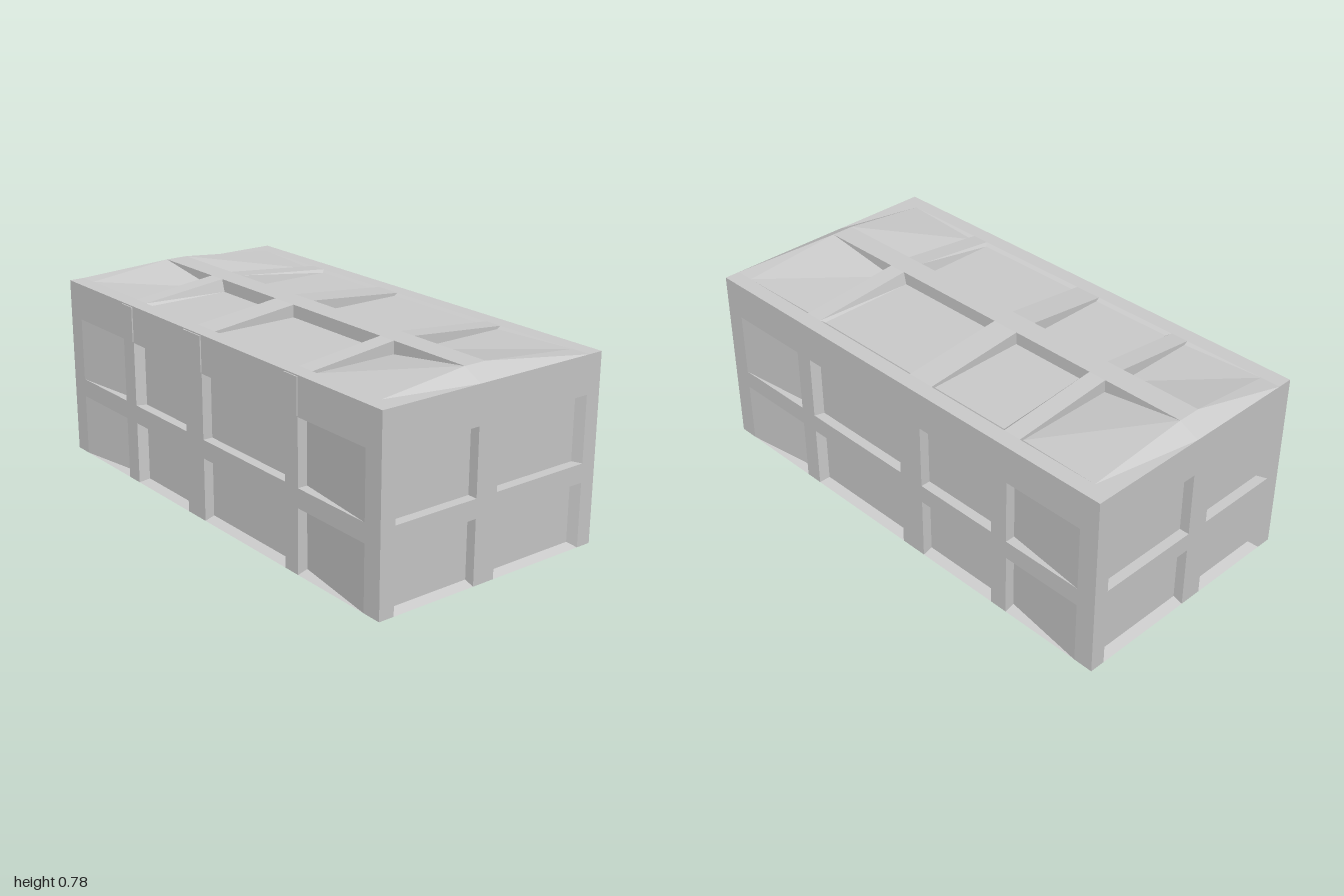
import * as THREE from 'three';

const W = 0.503, H = 0.74, RIDGE = 0.78, L = 1, END = 0.92;

// Grid lines: frame strips and recessed panels alternate along each axis
const xs = [-W, -0.44, -0.08, 0.015, 0.44, W];
const ys = [0, 0, 0.255, 0.33, 0.59, H];
const zs = [-L, -END, -0.58, -0.505, -0.14, -0.025, 0.485, 0.56, END, L];

// How far a panel edge leans inwards at some grid lines
const lean = (c, table) => c + (table[c] || 0);
const bx = (x) => lean(x, { '-0.44': 0.015, '0.44': -0.015 });
const by = (y) => lean(y, { '0': 0.012, '0.59': -0.008 });
const bz = (z) => lean(z, { '-0.505': 0.015, '0.485': -0.012 });
const isEnd = (z) => Math.abs(z) >= END;

// A face made of frame cells and recessed panels with walls
function panelledFace(name, us, vs, surface, floor, flip) {
  const pos = [];
  const quad = (a, b, c, d) => {
    const order = flip ? [a, c, b, a, d, c] : [a, b, c, a, c, d];
    order.forEach((p) => pos.push(...p));
  };
  for (let i = 0; i < us.length - 1; i++) {
    for (let j = 0; j < vs.length - 1; j++) {
      if (us[i] === us[i + 1] || vs[j] === vs[j + 1]) continue;
      const corners = [
        [us[i], vs[j]], [us[i + 1], vs[j]],
        [us[i + 1], vs[j + 1]], [us[i], vs[j + 1]],
      ];
      const top = corners.map(([u, v]) => surface(u, v));
      if (i % 2 === 0 || j % 2 === 0) {
        quad(...top);
        continue;
      }
      const low = corners.map(([u, v]) => floor(u, v));
      quad(...low);
      for (let k = 0; k < 4; k++) {
        const n = (k + 1) % 4;
        quad(top[k], top[n], low[n], low[k]);
      }
    }
  }
  const geometry = new THREE.BufferGeometry();
  geometry.setAttribute('position', new THREE.Float32BufferAttribute(pos, 3));
  geometry.computeVertexNormals();
  const mesh = new THREE.Mesh(geometry, material);
  mesh.name = name;
  return mesh;
}

const material = new THREE.MeshStandardMaterial({ color: 0xcccccc, flatShading: true });

export function createModel() {
  const model = new THREE.Group();
  model.name = 'panelledContainer';

  // End walls, two by two panels each
  for (const [name, s] of [['frontWall', 1], ['backWall', -1]]) {
    model.add(panelledFace(name, xs, ys,
      (x, y) => [x, y, s * L],
      (x, y) => [bx(x), by(y), s * (L - 0.04)], s < 0));
  }

  // Long walls, whose last panels run out flush at the ends
  for (const [name, s] of [['leftWall', 1], ['rightWall', -1]]) {
    model.add(panelledFace(name, zs, ys,
      (z, y) => [s * W, y, z],
      (z, y) => (isEnd(z) ? [s * W, y, z] : [s * (W - 0.04), by(y), bz(z)]), s > 0));
  }

  // Roof frame rising to a flat ridge, with level panels between the ribs
  const roof = (x, z) => {
    const onRidge = Math.abs(x) < 0.1 && Math.abs(z) < L;
    return [x, onRidge ? RIDGE : H, z];
  };
  model.add(panelledFace('roof', xs, zs, roof,
    (x, z) => (isEnd(z) ? roof(x, z) : [bx(x), 0.73, bz(z)]), true));

  // Underside with three shallow full-width panels
  model.add(panelledFace('underside',
    [-W, -0.44, 0.44, W], [-L, -END, -0.14, -0.025, 0.485, 0.56, END, L],
    (x, z) => [x, 0, z],
    (x, z) => (isEnd(z) ? [x, 0, z] : [bx(x), 0.012, bz(z)]), false));

  // Thin rib ends standing proud of the upper rail on one long wall
  for (const [z, width] of [[-0.5425, 0.075], [-0.0825, 0.115], [0.5225, 0.075]]) {
    const rib = new THREE.Mesh(new THREE.BoxGeometry(0.005, 0.14, width), material);
    rib.position.set(-W - 0.0025, 0.665, z);
    rib.name = 'ribEnd';
    model.add(rib);
  }
  return model;
}
